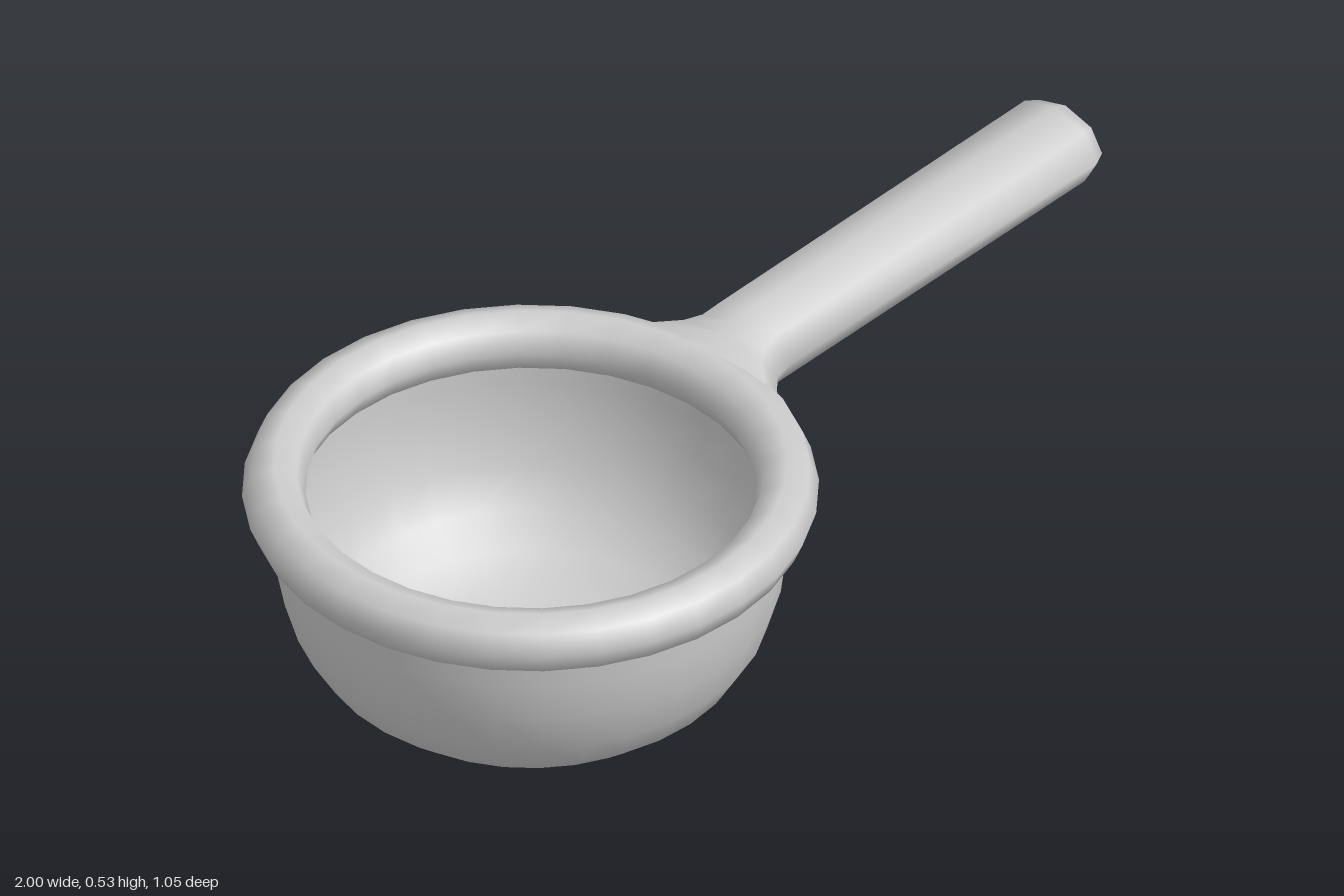
import * as THREE from 'three';

const CX = -0.475;      // bowl axis
const RIM_Y = 0.458;    // height of rim and handle centre line
const SIDES = 8;

// Smooth loft along +x. Each section: x, z centre, half width, half height,
// bend (pulls the sides back in x) and squareness power.
function loft(sections) {
  const pos = [], index = [];
  for (const [x, zc, hw, hh, bend = 0, p = 1] of sections) {
    for (let i = 0; i < SIDES; i++) {
      const a = (i / SIDES) * Math.PI * 2;
      const z = hw * Math.cos(a), s = Math.sin(a);
      pos.push(x - bend * z * z, RIM_Y + hh * Math.sign(s) * Math.abs(s) ** p, zc + z);
    }
  }
  for (let r = 0; r < sections.length - 1; r++) {
    for (let i = 0; i < SIDES; i++) {
      const j = (i + 1) % SIDES;
      const a = r * SIDES + i, b = r * SIDES + j, c = a + SIDES, d = b + SIDES;
      index.push(a, c, b, b, c, d);
    }
  }
  // close the tip
  const last = (sections.length - 1) * SIDES;
  const [tx, tz] = sections[sections.length - 1];
  pos.push(tx + 0.002, RIM_Y, tz);
  for (let i = 0; i < SIDES; i++) index.push(last + i, last + SIDES, last + ((i + 1) % SIDES));
  const g = new THREE.BufferGeometry();
  g.setAttribute('position', new THREE.Float32BufferAttribute(pos, 3));
  g.setIndex(index);
  g.computeVertexNormals();
  return g;
}

export function createModel() {
  const group = new THREE.Group();
  const material = new THREE.MeshStandardMaterial({ color: 0xcccccc });
  const thin = new THREE.MeshStandardMaterial({ color: 0xcccccc, side: THREE.DoubleSide });
  const add = (name, geometry, mat = material) => {
    const mesh = new THREE.Mesh(geometry, mat);
    mesh.name = name;
    group.add(mesh);
    return mesh;
  };

  // Thin round-bottomed bowl
  const profile = [
    [0, 0.003], [0.09, 0.006], [0.18, 0.013], [0.26, 0.036], [0.335, 0.072],
    [0.393, 0.12], [0.435, 0.19], [0.46, 0.275], [0.469, 0.35], [0.471, 0.43],
  ].map(([r, y]) => new THREE.Vector2(r, y));
  add('bowl', new THREE.LatheGeometry(profile, 32), thin).position.x = CX;

  // Rolled rim
  const rim = add('rim', new THREE.TorusGeometry(0.467, 0.058, SIDES, 32).rotateX(Math.PI / 2));
  rim.position.set(CX, RIM_Y, 0);

  // Handle, flaring into the rim and rounded at the tip
  add('handle', loft([
    [-0.01, 0, 0.25, 0.054, 1.1, 0.5],
    [0.015, 0, 0.2, 0.056, 0.6, 0.7],
    [0.05, -0.003, 0.135, 0.063, 0.2, 0.9],
    [0.08, -0.005, 0.108, 0.07],
    [0.13, -0.007, 0.101, 0.077],
    [0.955, -0.011, 0.104, 0.077],
    [0.984, -0.011, 0.09, 0.064],
    [0.998, -0.011, 0.055, 0.038],
  ]));

  return group;
}
